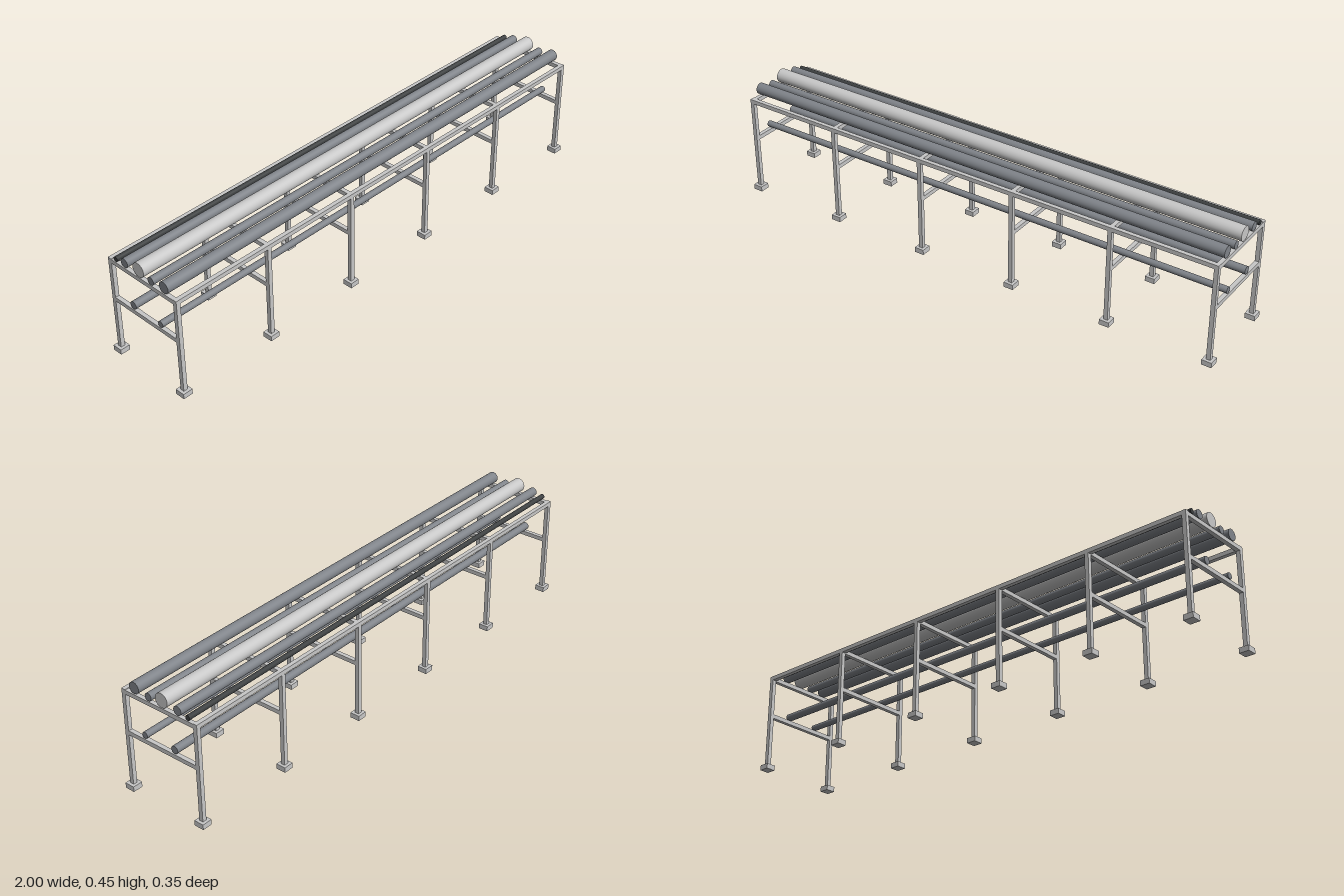
import * as THREE from 'three';

export function createModel() {
  const model = new THREE.Group();
  model.name = 'pipeRack';

  const mat = (name, color) => {
    const m = new THREE.MeshStandardMaterial({ color });
    m.name = name;
    return m;
  };
  const frameGrey = mat('light frame grey', 0xc8c8c8);
  const steelGrey = mat('pipe grey', 0x80848a);
  const darkGrey = mat('dark pipe grey', 0x3c3f40);

  const box = (parent, name, w, h, d, x, y, z) => {
    const mesh = new THREE.Mesh(new THREE.BoxGeometry(w, h, d), frameGrey);
    mesh.name = name;
    mesh.position.set(x, y, z);
    parent.add(mesh);
  };

  const T = 0.016;       // tube thickness
  const LEG_Z = 0.158;
  const TOP = 0.393;
  const END_X = 0.981;

  // Six portal frames: legs, feet and two cross beams each
  for (let i = 0; i < 6; i++) {
    const frame = new THREE.Group();
    frame.name = 'portalFrame';
    frame.position.x = -END_X + (i * 2 * END_X) / 5;
    for (const s of [-1, 1]) {
      box(frame, 'leg', T, TOP - 0.02, T, 0, (TOP + 0.02) / 2, s * LEG_Z);
      box(frame, 'foot', 0.038, 0.02, 0.038, 0, 0.01, s * LEG_Z);
    }
    const span = 2 * LEG_Z - T;
    box(frame, 'topBeam', T, T, span, 0, 0.383, 0);
    box(frame, 'middleBeam', T, T, span, 0, 0.226, 0);
    model.add(frame);
  }

  // Long rails between neighbouring legs
  const bay = (2 * END_X) / 5;
  for (const s of [-1, 1]) {
    for (let i = 0; i < 5; i++) {
      box(model, 'rail', bay - T, T, T, -END_X + (i + 0.5) * bay, TOP - T / 2, s * LEG_Z);
    }
  }

  // Pipes lying along the rack: name, radius, y, z, material
  const pipes = [
    ['largeFrontPipe', 0.0218, 0.416, 0.108, steelGrey],
    ['smallFrontPipe', 0.0145, 0.408, 0.045, steelGrey],
    ['mainPipe', 0.027, 0.42, -0.014, frameGrey],
    ['rearPipe', 0.017, 0.411, -0.083, steelGrey],
    ['thinDarkPipe', 0.0095, 0.4035, -0.127, darkGrey],
    ['lowerFrontPipe', 0.012, 0.249, 0.075, steelGrey],
    ['lowerRearPipe', 0.0145, 0.252, -0.058, steelGrey],
  ];
  for (const [name, r, y, z, material] of pipes) {
    const pipe = new THREE.Mesh(new THREE.CylinderGeometry(r, r, 1.976, 32), material);
    pipe.name = name;
    pipe.rotation.z = Math.PI / 2;
    pipe.position.set(0, y, z);
    model.add(pipe);
  }

  return model;
}
